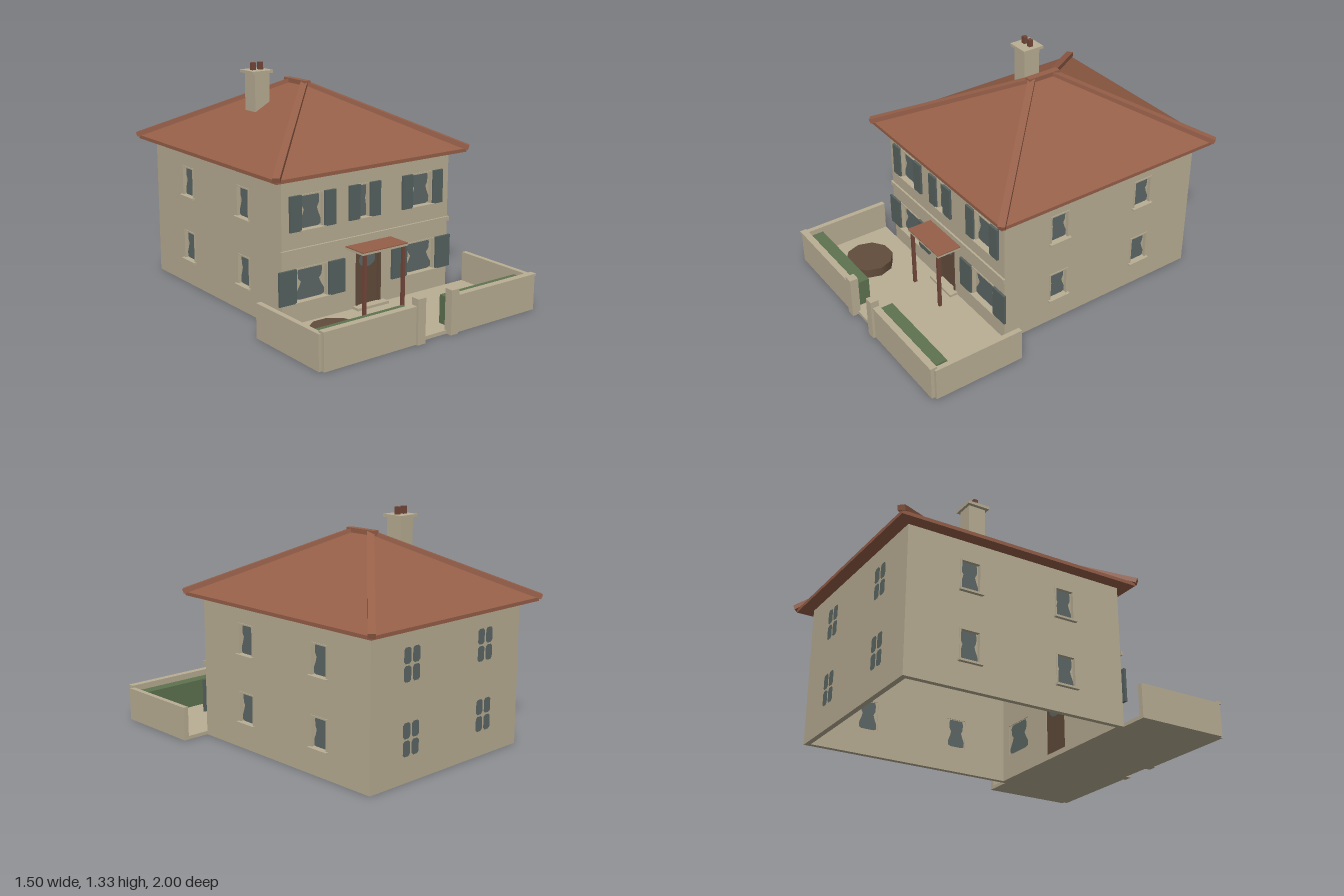
import * as THREE from 'three';

const mat = (name, color, side = THREE.FrontSide) => {
  const m = new THREE.MeshStandardMaterial({ color, side });
  m.name = name;
  return m;
};

export function createModel() {
  const stone = mat('stone', 0xb9ae94);
  const tile = mat('roof tile', 0x965f48);
  const timber = mat('red timber', 0x74483a);
  const wood = mat('dark wood', 0x624c3b);
  const shutterPaint = mat('shutter paint', 0x56625f);
  const glass = mat('glass', 0x5d6866, THREE.DoubleSide);
  const leaf = mat('hedge green', 0x5e7350);

  const house = new THREE.Group();
  house.name = 'house';

  const add = (parent, name, geo, material) => {
    const m = new THREE.Mesh(geo, material);
    m.name = name;
    parent.add(m);
    return m;
  };
  // Box given by its extents
  const box = (parent, name, material, x0, x1, y0, y1, z0, z1) => {
    const m = add(parent, name, new THREE.BoxGeometry(x1 - x0, y1 - y0, z1 - z0), material);
    m.position.set((x0 + x1) / 2, (y0 + y1) / 2, (z0 + z1) / 2);
    return m;
  };

  // Walls: local z = 0 is the outer face, openings are [x0, x1, y0, y1]
  const T = 0.03, H = 0.83;
  const rectPath = (P, x0, x1, y0, y1) => {
    const p = new P();
    p.moveTo(x0, y0); p.lineTo(x1, y0); p.lineTo(x1, y1); p.lineTo(x0, y1); p.closePath();
    return p;
  };
  const wall = (name, half, openings, x, z, angle) => {
    const g = new THREE.Group();
    g.name = name;
    const s = rectPath(THREE.Shape, -half, half, 0, H);
    openings.forEach(o => s.holes.push(rectPath(THREE.Path, ...o)));
    const geo = new THREE.ExtrudeGeometry(s, { depth: T, bevelEnabled: false });
    geo.translate(0, 0, -T);
    add(g, name + 'Panel', geo, stone);
    g.position.set(x, 0, z);
    g.rotation.y = angle;
    house.add(g);
    return g;
  };

  // Glass outline between tied-back curtains, as half-width and height fractions
  const outline = [[0.62, 0.03], [0.86, 0.07], [0.88, 0.22], [0.66, 0.42], [0.56, 0.55],
    [0.72, 0.66], [0.76, 0.86], [0.66, 0.97]];
  const curtainGlass = (x0, x1, y0, y1) => {
    const c = (x0 + x1) / 2, w = (x1 - x0) / 2, h = y1 - y0;
    const side = s => outline.map(([u, v]) => new THREE.Vector2(c + s * u * w, y0 + v * h));
    return new THREE.ShapeGeometry(new THREE.Shape([...side(1), ...side(-1).reverse()]));
  };
  const windowIn = (g, [x0, x1, y0, y1], shutter = 0, depth = 0.018) => {
    const w = new THREE.Group();
    w.name = 'window';
    g.add(w);
    box(w, 'curtainPanel', stone, x0, x1, y0, y1, -depth - 0.008, -depth);
    for (const z of [-depth + 0.002, -depth - 0.01]) {
      add(w, 'windowGlass', curtainGlass(x0, x1, y0, y1), glass).position.z = z;
    }
    // Slim casing and sill
    const t = 0.008;
    box(w, 'casingSide', stone, x0, x0 + t, y0, y1, -depth, 0.004);
    box(w, 'casingSide', stone, x1 - t, x1, y0, y1, -depth, 0.004);
    box(w, 'casingTop', stone, x0, x1, y1 - t, y1, -depth, 0.004);
    box(w, 'sill', stone, x0 - 0.008, x1 + 0.008, y0 - 0.008, y0 + 0.004, -depth, 0.02);
    if (shutter) {
      box(w, 'shutter', shutterPaint, x0 - shutter, x0, y0, y1, 0, 0.014);
      box(w, 'shutter', shutterPaint, x1, x1 + shutter, y0, y1, 0, 0.014);
    }
  };

  // Front wall with door and shuttered windows
  const upper = [[-0.463, -0.31, 0.535, 0.73], [-0.07, 0, 0.535, 0.73], [0.308, 0.46, 0.535, 0.73]];
  const lower = [[-0.498, -0.283, 0.14, 0.33], [0.273, 0.49, 0.14, 0.33]];
  const doorway = [-0.09, 0.087, 0.03, 0.35];
  const front = wall('frontWall', 0.585, [...upper, ...lower, doorway], 0, 0.42, 0);
  upper.forEach(o => windowIn(front, o, 0.074));
  lower.forEach(o => windowIn(front, o, 0.11));
  box(front, 'stringCourse', stone, -0.592, 0.592, 0.415, 0.44, 0, 0.012);

  // Door with an oval light
  box(front, 'door', wood, -0.09, 0.087, 0.03, 0.35, -0.026, -0.014);
  for (const s of [-1, 1]) box(front, 'doorJamb', wood, s * 0.08 - 0.008, s * 0.08 + 0.008, 0.03, 0.34, -0.014, 0.004);
  box(front, 'doorHead', timber, -0.09, 0.087, 0.335, 0.35, -0.014, 0.006);
  for (const z of [-0.012, -0.028]) {
    const light = add(front, 'doorLight', new THREE.CircleGeometry(1, 20), glass);
    light.scale.set(0.058, 0.043, 1);
    light.position.set(0, 0.287, z);
  }
  box(front, 'doorStep', stone, -0.11, 0.11, 0, 0.035, 0, 0.05);

  // Side walls, local x runs along the depth of the house
  const sides = [[0.585, 1], [-0.585, -1]];
  sides.forEach(([x, s]) => {
    const openings = [];
    for (const z of [0.054, -0.532]) for (const y of [0.15, 0.54]) {
      const u = -s * (z + 0.24);
      openings.push([u - 0.062, u + 0.062, y, y + 0.178]);
    }
    const g = wall(s > 0 ? 'leftWall' : 'rightWall', 0.66, openings, x, -0.24, s * Math.PI / 2);
    openings.forEach(o => windowIn(g, o));
  });

  // Back wall with small four-pane windows
  const back = wall('backWall', 0.585, [], 0, -0.9, Math.PI);
  const c = 0.012, pw = 0.027, ph = 0.043;
  const pane = new THREE.ShapeGeometry(new THREE.Shape([
    [-pw + c, -ph], [pw - c, -ph], [pw, -ph + c], [pw, ph - c],
    [pw - c, ph], [-pw + c, ph], [-pw, ph - c], [-pw, -ph + c]].map(p => new THREE.Vector2(...p))));
  for (const x of [-0.29, 0.29]) for (const y of [0.235, 0.63])
    for (const i of [-1, 1]) for (const j of [-1, 1])
      add(back, 'backPane', pane, glass).position.set(x + i * 0.033, y + j * 0.048, 0.003);

  // Hipped roof
  const E = 0.66, ZF = 0.49, ZB = -0.975, YE = 0.845, YR = 1.2, R1 = -0.18, R2 = -0.32;
  const A = [-E, YE, ZF], B = [E, YE, ZF], C = [E, YE, ZB], D = [-E, YE, ZB];
  const P = [0, YR, R1], Q = [0, YR, R2];
  const slopes = new THREE.BufferGeometry();
  slopes.setAttribute('position', new THREE.Float32BufferAttribute(
    [A, B, P, B, C, Q, B, Q, P, C, D, Q, D, A, P, D, P, Q].flat(), 3));
  slopes.computeVertexNormals();
  add(house, 'roofSlopes', slopes, tile);
  box(house, 'eaves', tile, -E, E, 0.825, YE, ZB, ZF);
  const beam = (name, from, to, w, h) => {
    const a = new THREE.Vector3(...from), b = new THREE.Vector3(...to);
    const m = add(house, name, new THREE.BoxGeometry(w, h, a.distanceTo(b)), tile);
    m.position.copy(a).add(b).multiplyScalar(0.5);
    m.lookAt(b);
  };
  for (const s of [-1, 1]) {
    beam('hipCap', [s * 0.668, 0.85, ZF + 0.008], P, 0.04, 0.028);
    beam('hipCap', [s * 0.668, 0.85, ZB - 0.01], Q, 0.04, 0.028);
  }
  beam('ridgeCap', [0, 1.202, -0.15], [0, 1.202, -0.36], 0.04, 0.028);

  // Chimney
  box(house, 'chimneyStack', stone, -0.285, -0.187, 0.95, 1.27, -0.37, -0.265);
  box(house, 'chimneyCap', stone, -0.306, -0.17, 1.265, 1.282, -0.386, -0.25);
  for (const x of [-0.262, -0.212]) box(house, 'chimneyPot', timber, x - 0.013, x + 0.013, 1.28, 1.325, -0.332, -0.308);

  // Porch canopy on two posts
  box(house, 'porchSlab', stone, -0.162, 0.157, 0.376, 0.388, 0.42, 0.572);
  box(house, 'porchTiles', tile, -0.162, 0.157, 0.388, 0.393, 0.42, 0.572);
  for (const x of [-0.138, 0.135]) box(house, 'porchPost', timber, x - 0.009, x + 0.009, 0.02, 0.376, 0.548, 0.566);

  // Front yard: paving, low walls, gate posts, hedges and round planter
  box(house, 'paving', stone, -0.73, 0.73, 0, 0.02, 0.42, 0.965);
  for (const s of [-1, 1]) {
    const span = (name, m, a, b, ...r) => box(house, name, m, Math.min(s * a, s * b), Math.max(s * a, s * b), ...r);
    span('yardSideWall', stone, 0.718, 0.748, 0, 0.195, 0.42, 0.965);
    span('yardFrontWall', stone, 0.13, 0.73, 0, 0.2, 0.955, 0.985);
    span('yardCoping', stone, 0.13, 0.737, 0.197, 0.21, 0.95, 0.99);
    span('gatePost', stone, 0.09, 0.142, 0, 0.25, 0.95, 1);
    span('hedge', leaf, 0.132, 0.695, 0.005, 0.18, 0.862, 0.932);
  }
  const planter = add(house, 'planter', new THREE.CylinderGeometry(0.14, 0.14, 0.07, 10), wood);
  planter.position.set(-0.44, 0.04, 0.692);
  planter.rotation.y = Math.PI / 10;

  return house;
}
